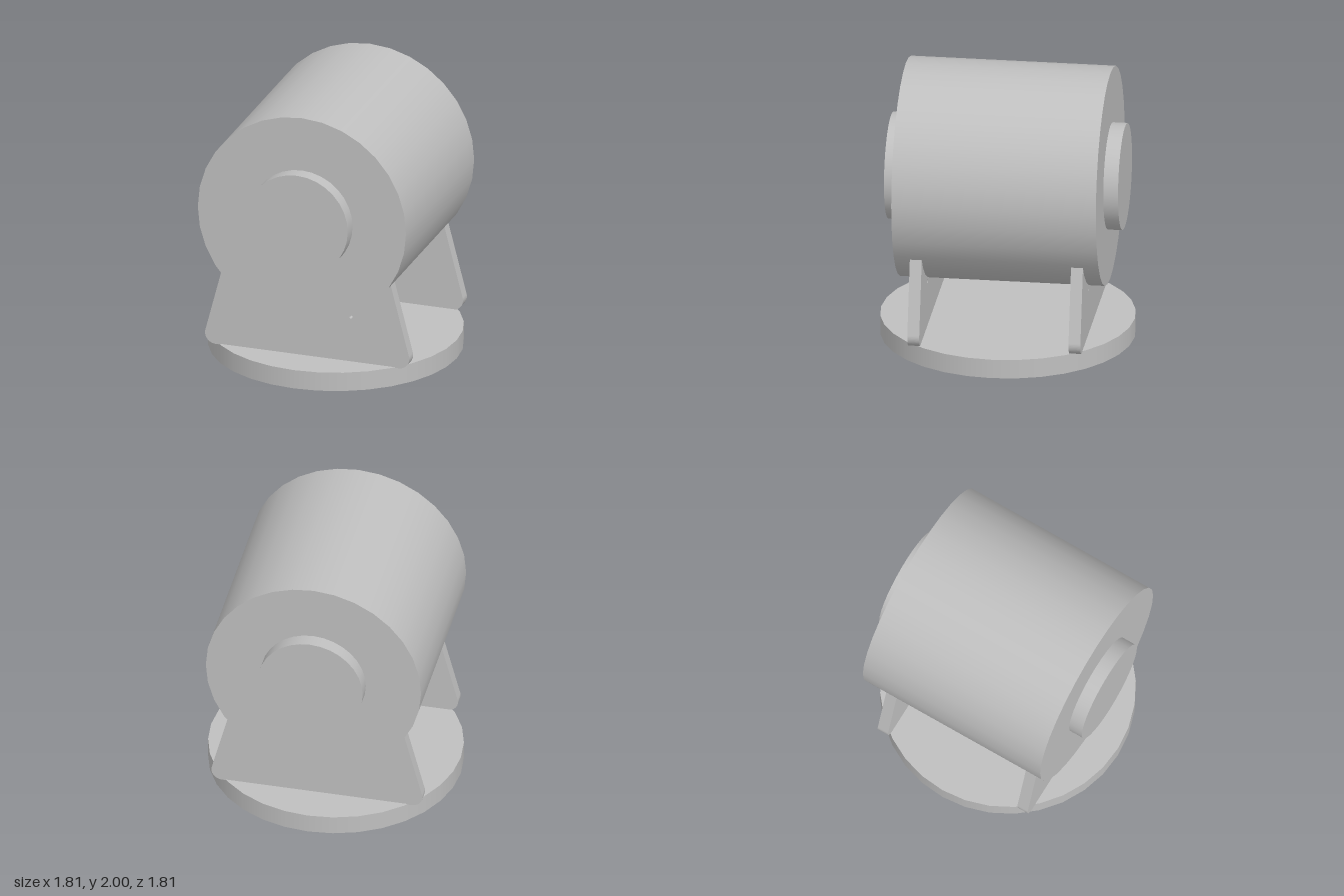
import * as THREE from 'three';

const AXIS_Y = 1.22, DRUM_R = 0.78;

export function createModel() {
  const model = new THREE.Group();
  model.name = 'drumOnStand';
  const grey = new THREE.MeshStandardMaterial({ color: 0xbfbfbf });
  grey.name = 'grey';

  const add = (name, geometry, x, y, z) => {
    const mesh = new THREE.Mesh(geometry, grey);
    mesh.name = name;
    mesh.position.set(x, y, z);
    model.add(mesh);
  };

  // Round base
  add('base', new THREE.CylinderGeometry(0.905, 0.905, 0.14, 32), 0, 0.07, 0);

  // Horizontal drum
  add('drum', new THREE.CylinderGeometry(DRUM_R, DRUM_R, 1.46, 32).rotateX(Math.PI / 2), 0, AXIS_Y, 0);

  // Bracket outline: rounded feet, sloping sides and a cradle for the drum
  const footX = 0.685, footY = 0.215, footR = 0.08, tilt = 0.254;
  const cradleR = DRUM_R - 0.006;
  const rim = Math.atan2(0.76 - AXIS_Y, 0.626);
  const bracket = new THREE.Shape();
  bracket.moveTo(-footX, footY - footR);
  bracket.absarc(footX, footY, footR, -Math.PI / 2, tilt, false);
  bracket.lineTo(0.626, 0.76);
  bracket.absarc(0, AXIS_Y, cradleR, rim, -Math.PI - rim, true);
  bracket.lineTo(-0.626, 0.76);
  bracket.absarc(-footX, footY, footR, Math.PI - tilt, Math.PI * 1.5, false);

  // Small bolt holes just below the drum
  for (const s of [-1, 1]) {
    const hole = new THREE.Path();
    hole.absarc(s * 0.328, 0.48, 0.013, 0, Math.PI * 2, true);
    bracket.holes.push(hole);
  }
  const bracketGeometry = new THREE.ExtrudeGeometry(bracket, {
    depth: 0.085, bevelEnabled: false, curveSegments: 16,
  });
  bracketGeometry.translate(0, 0, -0.0425);

  // Matching end boss and bracket at each end
  for (const [end, s] of [['front', 1], ['back', -1]]) {
    add(end + 'Boss', new THREE.CylinderGeometry(0.38, 0.38, 0.125, 32).rotateX(Math.PI / 2), 0, AXIS_Y, s * 0.7725);
    add(end + 'Bracket', bracketGeometry, 0, 0, s * 0.575);
  }
  return model;
}
